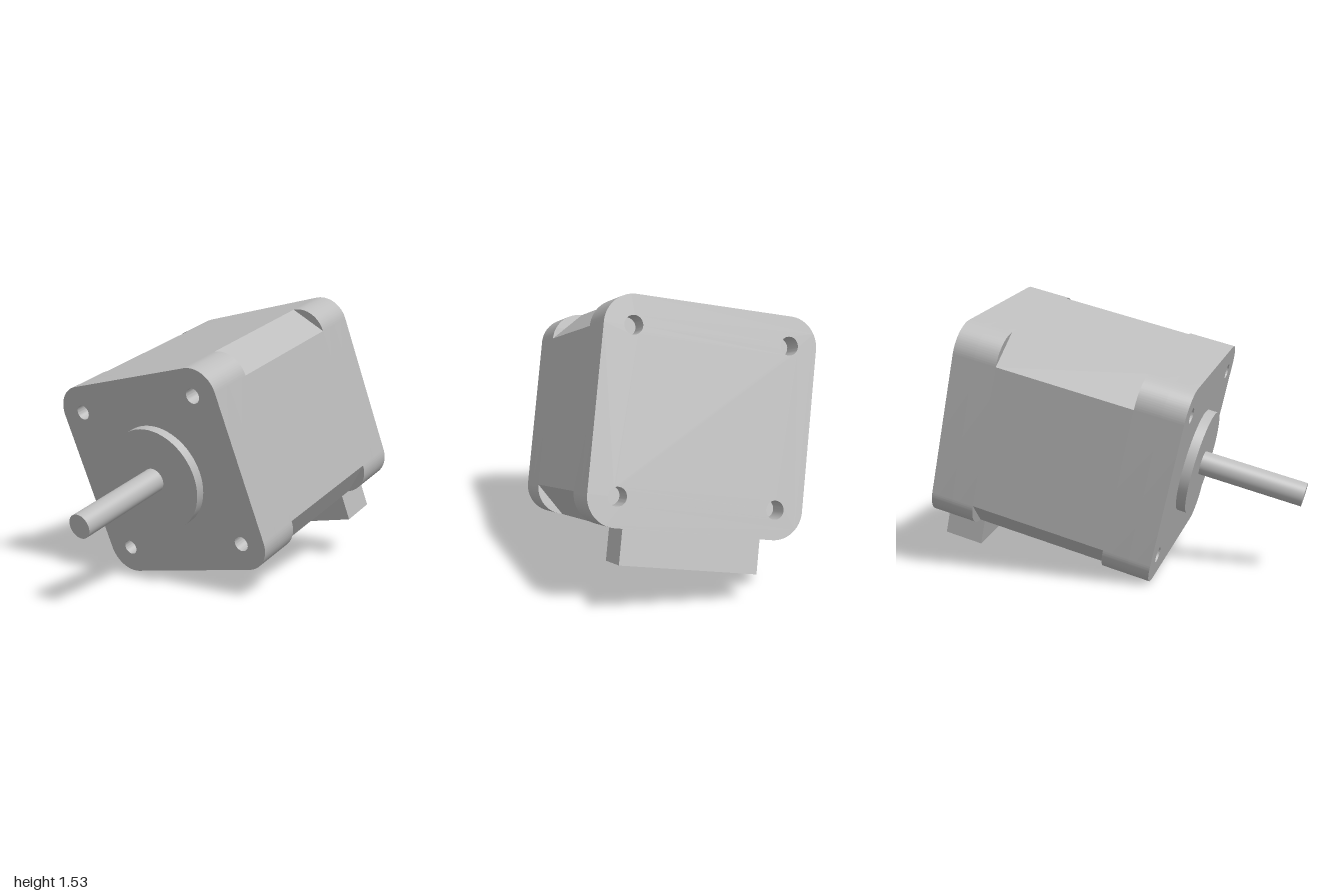
import * as THREE from 'three';
import { toCreasedNormals } from 'three/addons/utils/BufferGeometryUtils.js';

const HALF = 0.555;      // half width of the square body
const LENGTH = 1.258;    // body length along the shaft axis
const CORNER = 0.15;     // corner rounding and chamfer size
const HOLE_AT = 0.407;   // screw hole offset from the axis
const HOLE_DEPTH = 0.12;

// Square outline with rounded or cut corners, with optional screw holes
function outline(rounded, holeRadius = 0) {
  const s = new THREE.Shape();
  const k = HALF - CORNER;
  [[1, 1], [-1, 1], [-1, -1], [1, -1]].forEach(([sx, sy], i) => {
    const start = i * Math.PI / 2;
    if (rounded) {
      s.absarc(sx * k, sy * k, CORNER, start, start + Math.PI / 2, false);
    } else {
      const a = [sx * HALF, sy * k], b = [sx * k, sy * HALF];
      const [p, q] = i % 2 === 0 ? [a, b] : [b, a];
      if (i === 0) s.moveTo(...p); else s.lineTo(...p);
      s.lineTo(...q);
    }
    if (holeRadius) {
      const hole = new THREE.Path();
      hole.absarc(sx * HOLE_AT, sy * HOLE_AT, holeRadius, 0, Math.PI * 2, true);
      s.holes.push(hole);
    }
  });
  s.closePath();
  return s;
}

export function createModel() {
  const grey = new THREE.MeshStandardMaterial({ color: 0xbcbcbc });
  grey.name = 'plain grey';

  // The motor is built along local z: front face at 0, rear face at LENGTH
  const motor = new THREE.Group();
  motor.name = 'motor';

  const add = (name, geometry) => {
    const mesh = new THREE.Mesh(geometry, grey);
    mesh.name = name;
    motor.add(mesh);
    return mesh;
  };
  const slab = (name, shape, from, to) => {
    const g = new THREE.ExtrudeGeometry(shape, { depth: to - from, bevelEnabled: false, curveSegments: 20 });
    g.translate(0, 0, from);
    return add(name, toCreasedNormals(g, 0.5));
  };
  const rod = (name, radius, from, to) => {
    const g = new THREE.CylinderGeometry(radius, radius, to - from, 64);
    g.rotateX(Math.PI / 2);
    g.translate(0, 0, (from + to) / 2);
    return add(name, g);
  };

  // Rounded end caps with blind screw holes around a chamfered core
  slab('frontCapFace', outline(true, 0.041), 0, HOLE_DEPTH);
  slab('frontCap', outline(true), HOLE_DEPTH, 0.263);
  slab('core', outline(false), 0.263, 1.015);
  slab('rearCap', outline(true), 1.015, LENGTH - HOLE_DEPTH);
  slab('rearCapFace', outline(true, 0.047), LENGTH - HOLE_DEPTH, LENGTH);

  // Raised pilot ring and output shaft
  rod('pilotDisc', 0.288, -0.052, 0.01);
  rod('shaft', 0.0656, -0.63, 0);

  // Cable connector under the rear cap
  add('connector', new THREE.BoxGeometry(0.712, 0.2, 0.215)).position.set(0, -0.63, 1.113);

  // Tilt the motor into its resting pose
  const axis = new THREE.Vector3(0.9656, 0.2588, -0.026).normalize();
  const side = new THREE.Vector3().crossVectors(axis, new THREE.Vector3(-0.262, 0.947, -0.182)).normalize();
  const up = new THREE.Vector3().crossVectors(side, axis);
  motor.quaternion.setFromRotationMatrix(new THREE.Matrix4().makeBasis(side.negate(), up, axis));
  motor.position.set(-0.375, 0.601, 0.013);

  const group = new THREE.Group();
  group.name = 'steppingMotor';
  group.add(motor);
  return group;
}
